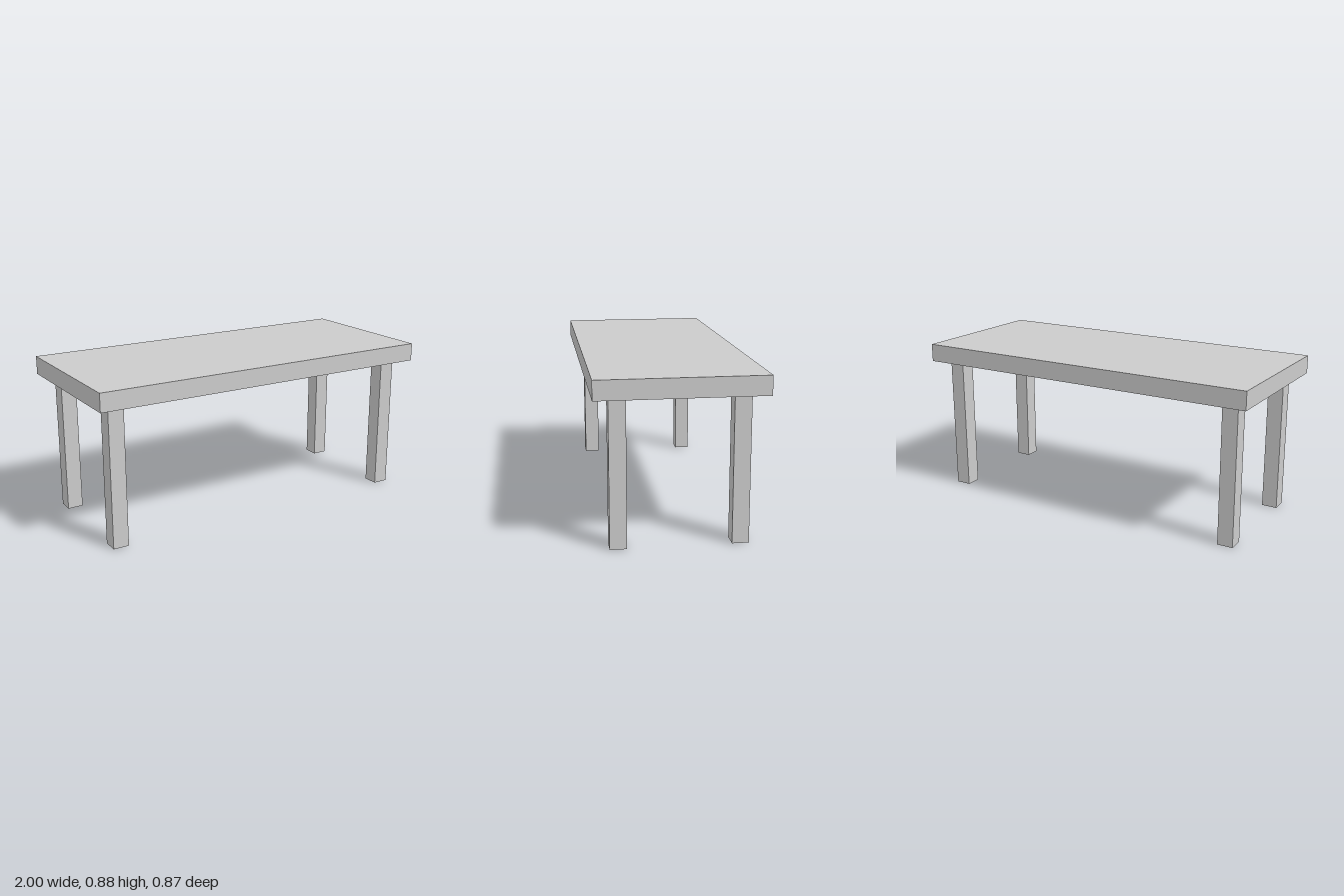
import * as THREE from 'three';

const LEG_WIDTH = 0.087, LEG_HEIGHT = 0.776, TOP_HEIGHT = 0.101;

export function createModel() {
  const table = new THREE.Group();
  table.name = 'table';
  const material = new THREE.MeshStandardMaterial({ color: 0xcccccc, flatShading: true });

  // Box standing on the given height
  function addBox(name, width, height, depth, x, bottom, z) {
    const mesh = new THREE.Mesh(new THREE.BoxGeometry(width, height, depth), material);
    mesh.name = name;
    mesh.position.set(x, bottom + height / 2, z);
    table.add(mesh);
  }

  // Thick rectangular slab
  addBox('tableTop', 1.998, TOP_HEIGHT, 0.867, 0, LEG_HEIGHT, 0);

  // Four square legs, inset from the corners
  for (const [side, x] of [['Left', 0.882], ['Right', -0.882]]) {
    for (const [end, z] of [['front', 0.31], ['back', -0.31]]) {
      addBox(`${end}${side}Leg`, LEG_WIDTH, LEG_HEIGHT, LEG_WIDTH, x, 0, z);
    }
  }

  // The table stands very slightly turned
  table.rotation.y = -0.0025;
  return table;
}
